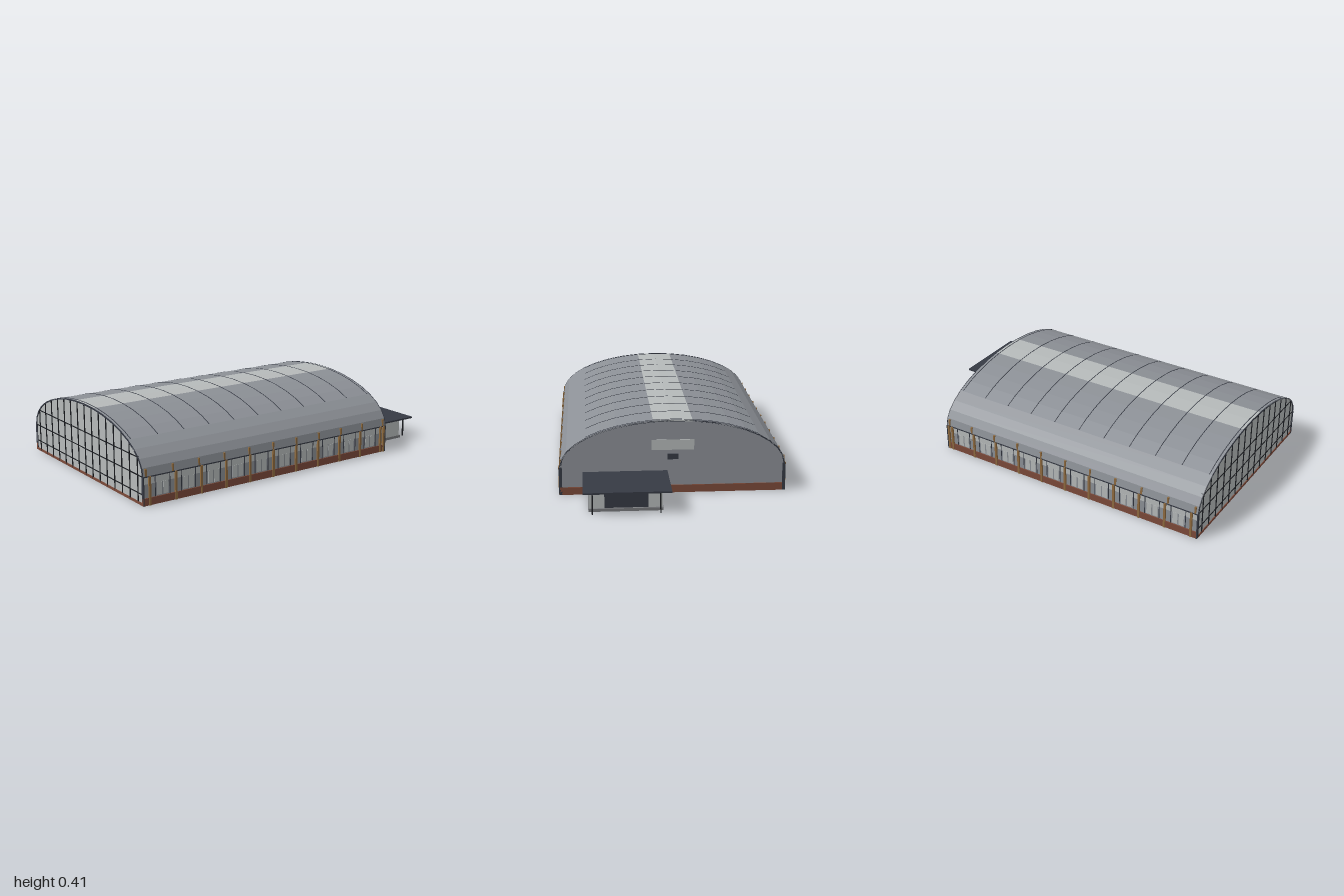
import * as THREE from 'three';

const mat = (name, color, side = THREE.FrontSide) => {
  const m = new THREE.MeshStandardMaterial({ color, side });
  m.name = name;
  return m;
};

export function createModel() {
  const M = {
    metal: mat('grey metal', 0x8c9096, THREE.DoubleSide),
    light: mat('pale glazing', 0xb6baba, THREE.DoubleSide),
    brick: mat('brick', 0x7c4a3a),
    wood: mat('timber', 0x8f6b40),
    slate: mat('slate', 0x363a44),
    black: mat('black steel', 0x1c1e22),
    red: mat('red', 0x9c2a26),
    floor: mat('floor grey', 0x77797c),
  };
  const root = new THREE.Group();
  const group = (name, parent = root) => {
    const g = new THREE.Group();
    g.name = name;
    parent.add(g);
    return g;
  };
  const add = (parent, name, geo, material) => {
    const m = new THREE.Mesh(geo, material);
    m.name = name;
    parent.add(m);
    return m;
  };
  // Box given by its limits
  const box = (parent, name, material, x0, x1, y0, y1, z0, z1) => {
    const m = add(parent, name, new THREE.BoxGeometry(x1 - x0, y1 - y0, z1 - z0), material);
    m.position.set((x0 + x1) / 2, (y0 + y1) / 2, (z0 + z1) / 2);
    return m;
  };

  const X0 = -1, X1 = 0.66, EAVE = 0.155, A = 0.612, B = 0.255;
  // Point on the elliptical vault, angle measured from the crown
  const vault = (deg, off = 0) => {
    const t = THREE.MathUtils.degToRad(deg);
    return new THREE.Vector2((A + off) * Math.sin(t), EAVE + (B + off) * Math.cos(t));
  };
  const arc = (d0, d1, off) => {
    const pts = [];
    for (let d = d0; d <= d1; d += 10) pts.push(vault(d, off));
    return pts;
  };
  // Extrude a z/y outline along x from x0 to x1
  const prism = (pts, x0, x1) =>
    new THREE.ExtrudeGeometry(new THREE.Shape(pts), { depth: x1 - x0, bevelEnabled: false })
      .rotateY(-Math.PI / 2).translate(x1, 0, 0);
  const band = (d0, d1, inner, outer, x0, x1) =>
    prism([...arc(d0, d1, outer), ...arc(d0, d1, inner).reverse()], x0, x1);

  // Vaulted roof with a glazed crown
  const roof = group('roof');
  add(roof, 'frontRoof', band(10, 90, -0.006, 0, X0, X1), M.metal);
  add(roof, 'backRoof', band(-90, -10, -0.006, 0, X0, X1), M.metal);
  add(roof, 'skylight', band(-10, 10, -0.006, 0, X0, X1), M.light);
  for (const x of [X0, X1 - 0.004]) add(roof, 'roofEdge', band(-90, 90, -0.007, 0.001, x, x + 0.004), M.slate);

  // Timber arches inside, roof seams outside
  const frames = group('frames');
  for (let i = 0; i < 11; i++) {
    const x = -0.98 + i * 0.162;
    add(frames, 'timberArch', band(-90, 90, -0.03, -0.008, x - 0.006, x + 0.006), M.wood);
    add(roof, 'roofSeam', band(-50, 50, -0.001, 0.0015, x - 0.002, x + 0.002), M.slate);
    for (const s of [-1, 1]) {
      const z = s * 0.606;
      box(frames, 'archFoot', M.wood, x - 0.005, x + 0.005, 0.155, 0.195, z - 0.007, z + 0.007);
    }
  }

  // Long side walls
  for (const s of [-1, 1]) {
    const wall = group(s > 0 ? 'frontWall' : 'backWall');
    const strip = (name, material, x0, x1, y0, y1, d0, d1) =>
      box(wall, name, material, x0, x1, y0, y1, Math.min(s * d0, s * d1), Math.max(s * d0, s * d1));
    strip('brickPlinth', M.brick, X0, X1, 0, 0.04, 0.6, 0.615);
    strip('wallPanel', M.metal, X0, X1, 0.04, 0.113, 0.603, 0.609);
    strip('highWindows', M.light, X0, X1, 0.113, 0.15, 0.603, 0.609);
    strip('eavesTrim', M.slate, X0, X1, 0.15, 0.156, 0.602, 0.614);
    for (let i = 0; i < 12; i++) {
      const x = i < 11 ? -0.96 + i * 0.158 : 0.645;
      strip('timberColumn', M.wood, x - 0.006, x + 0.006, 0.0, 0.155, 0.596, 0.619);
      if (i > 9) continue;
      for (const k of [0.035, 0.123]) {
        strip('windowFrame', M.slate, x + k - 0.002, x + k + 0.002, 0.04, 0.15, 0.602, 0.611);
      }
      strip('lowWindow', M.light, x + 0.045, x + 0.075, 0.045, 0.113, 0.602, 0.61);
      strip('lowWindow', M.light, x + 0.083, x + 0.113, 0.045, 0.113, 0.602, 0.61);
    }
    for (const x of [X0, X1 - 0.006]) strip('cornerTrim', M.slate, x, x + 0.006, 0, 0.155, 0.6, 0.617);
  }

  // Solid end wall with window and sign panel
  const outline = (y) => [new THREE.Vector2(-0.606, y), ...arc(-90, 90, -0.006), new THREE.Vector2(0.606, y)];
  const end = group('entranceEnd');
  add(end, 'endWall', prism(outline(0), X1 - 0.012, X1 - 0.005), M.metal);
  box(end, 'endWindow', M.light, X1 - 0.006, X1 - 0.001, 0.243, 0.3, -0.115, 0.115);
  box(end, 'signPanel', M.slate, X1 - 0.006, X1 + 0.002, 0.19, 0.22, -0.029, 0.029);
  box(end, 'endPlinth', M.brick, X1 - 0.014, X1, 0, 0.042, -0.612, 0.07);
  box(end, 'endPlinth', M.brick, X1 - 0.014, X1, 0, 0.042, 0.46, 0.612);

  // Fully glazed end with a grid of mullions
  const glass = group('glazedEnd');
  add(glass, 'endGlazing', prism(outline(0), X0 + 0.004, X0 + 0.008), M.light);
  box(glass, 'endKerb', M.brick, X0, X0 + 0.012, 0, 0.014, -0.612, 0.612);
  for (let i = -7; i <= 7; i++) {
    const z = i * 0.08;
    const top = EAVE + (B - 0.008) * Math.sqrt(1 - (z / A) ** 2);
    box(glass, 'mullion', M.black, X0, X0 + 0.014, 0, top, z - 0.003, z + 0.003);
  }
  for (const y of [0.06, 0.155, 0.25]) {
    const w = y <= EAVE ? 0.606 : 0.6 * Math.sqrt(1 - ((y - EAVE) / B) ** 2);
    box(glass, 'transom', M.black, X0 + 0.001, X0 + 0.013, y - 0.0025, y + 0.0025, -w, w);
  }

  // Entrance porch
  const porch = group('porch');
  box(porch, 'canopy', M.slate, X1, 1, 0.119, 0.128, 0.03, 0.49);
  box(porch, 'porchFloor', M.floor, X1, 0.93, 0, 0.016, 0.07, 0.462);
  box(porch, 'porchBody', M.light, X1, 0.92, 0.016, 0.119, 0.072, 0.46);
  box(porch, 'doors', M.slate, 0.919, 0.924, 0.018, 0.1, 0.148, 0.378);
  box(porch, 'porchSignFrame', M.black, 0.919, 0.926, 0.099, 0.118, 0.198, 0.332);
  box(porch, 'porchSign', M.light, 0.921, 0.928, 0.103, 0.114, 0.203, 0.327);
  for (const z of [0.087, 0.441]) box(porch, 'canopyPost', M.black, 0.967, 0.974, 0, 0.12, z - 0.0035, z + 0.0035);

  // Small pavilion inside the hall
  const pav = group('pavilion');
  box(pav, 'pavilionFloor', M.floor, -0.58, 0.15, 0, 0.01, -0.07, 0.18);
  box(pav, 'pavilionWalls', M.wood, -0.56, 0.13, 0.01, 0.1, -0.05, 0.16);
  box(pav, 'pavilionRoof', M.black, -0.6, 0.17, 0.1, 0.115, -0.09, 0.2);
  for (let i = 0; i < 5; i++) {
    const x = -0.5 + i * 0.13;
    box(pav, 'redDoor', M.red, x, x + 0.035, 0.012, 0.08, -0.055, 0.165);
    box(pav, 'whitePanel', M.light, x + 0.05, x + 0.08, 0.03, 0.08, -0.054, 0.164);
  }
  // Tables with stools beside the pavilion
  for (let i = 0; i < 3; i++) {
    const x = -0.26 + i * 0.08;
    const table = add(pav, 'table', new THREE.CylinderGeometry(0.014, 0.014, 0.005, 10), M.red);
    table.position.set(x, 0.022, 0.24);
    box(pav, 'tableLeg', M.black, x - 0.003, x + 0.003, 0, 0.02, 0.237, 0.243);
    for (const d of [-0.022, 0.022]) box(pav, 'stool', M.black, x + d - 0.005, x + d + 0.005, 0, 0.013, 0.235, 0.245);
  }
  return root;
}
